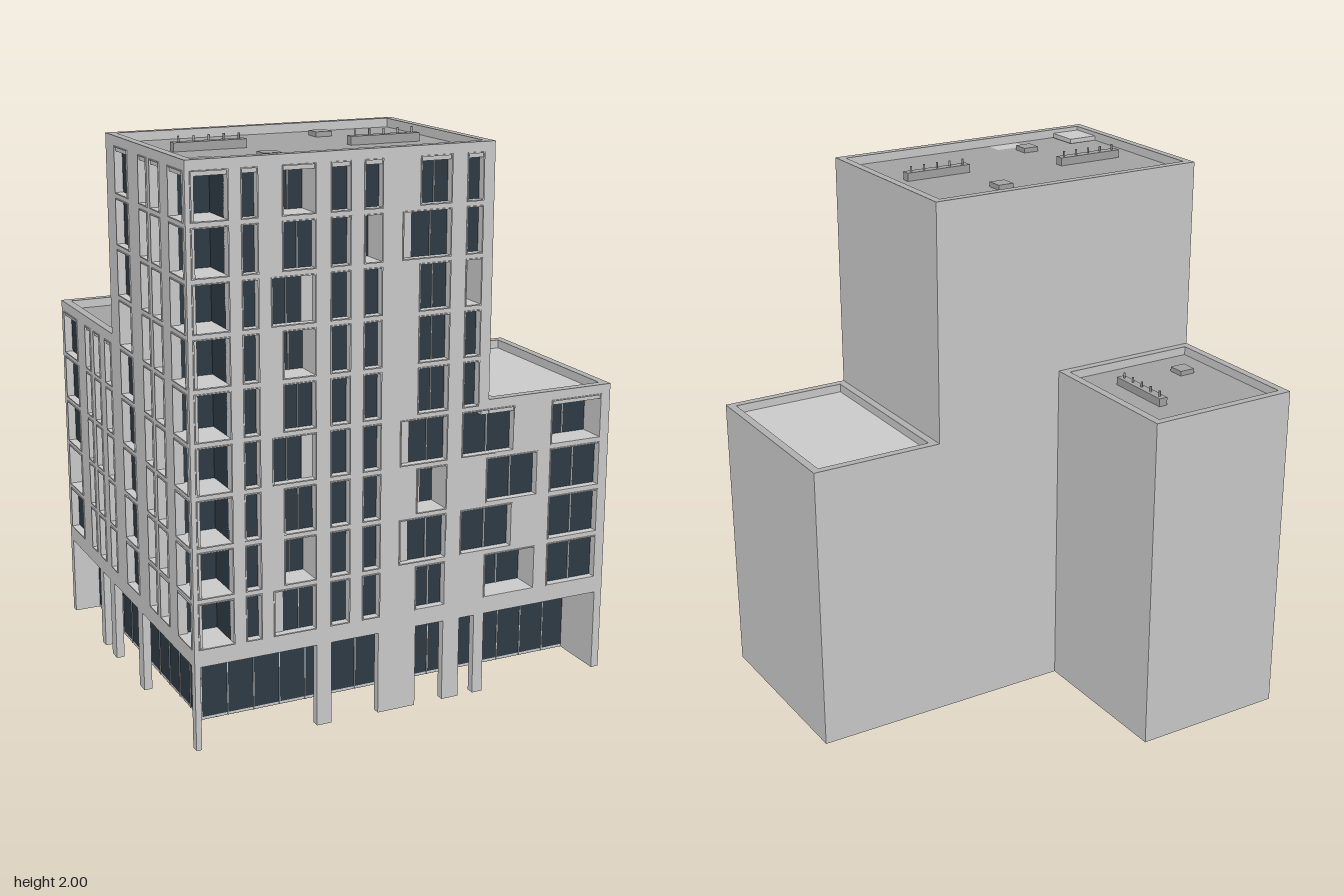
import * as THREE from 'three';

const mat = (color) => new THREE.MeshStandardMaterial({ color });
const WALL = mat(0xcccccc), GLASS = mat(0x2e3a44), ROOF = mat(0xa3a3a3), CAP = mat(0xb0b0b0);
const T = 0.03;                                   // wall thickness
const rowY = (i) => 0.365 + 0.178 * i, ROW_H = 0.155;

// Box from its minimum and maximum corners
function box(parent, name, material, x0, x1, y0, y1, z0, z1) {
  const m = new THREE.Mesh(new THREE.BoxGeometry(x1 - x0, y1 - y0, z1 - z0), material);
  m.position.set((x0 + x1) / 2, (y0 + y1) / 2, (z0 + z1) / 2);
  m.name = name;
  parent.add(m);
  return m;
}

function rectPath(x0, x1, y0, y1, P = THREE.Path) {
  const p = new P();
  p.moveTo(x0, y0); p.lineTo(x1, y0); p.lineTo(x1, y1); p.lineTo(x0, y1); p.closePath();
  return p;
}

// Rectangular ring of border t, grown outward from the opening, from z0 to z1
function ring(parent, name, material, x0, x1, y0, y1, t, z0, z1) {
  const s = rectPath(x0 - t, x1 + t, y0 - t, y1 + t, THREE.Shape);
  s.holes.push(rectPath(x0, x1, y0, y1));
  const m = new THREE.Mesh(new THREE.ExtrudeGeometry(s, { depth: z1 - z0, bevelEnabled: false }), material);
  m.position.z = z0;
  m.name = name;
  parent.add(m);
  return m;
}

// Street wall in its own plane: outer face at z = 0, inside is -z
function facade(name, outline, windows, piers) {
  const g = new THREE.Group();
  g.name = name;
  const shape = new THREE.Shape(outline.map(([x, y]) => new THREE.Vector2(x, y)));
  for (const { u0, u1, row, glass, deep, open } of windows) {
    const y0 = rowY(row), y1 = y0 + ROW_H;
    shape.holes.push(rectPath(u0, u1, y0, y1));
    ring(g, 'windowTrim', WALL, u0, u1, y0, y1, 0.004, -0.01, 0.004);
    if (open) continue;
    const d = deep ? -0.1 : -0.025, [g0, g1] = glass || [u0, u1];
    if (deep) ring(g, 'balconyRecess', WALL, u0, u1, y0, y1, 0.006, d, -T);
    box(g, 'windowPane', GLASS, g0 - 0.003, g1 + 0.003, y0 - 0.003, y1 + 0.003, d - 0.008, d);
    if (g0 > u0) box(g, 'sidePanel', WALL, u0, g0, y0, y1, d - 0.008, d + 0.004);
    if (g1 < u1) box(g, 'sidePanel', WALL, g1, u1, y0, y1, d - 0.008, d + 0.004);
    if (g1 - g0 > 0.1) {
      const c = g0 + (g1 - g0) * 0.52;
      box(g, 'windowMullion', WALL, c - 0.002, c + 0.002, y0, y1, d, d + 0.004);
    }
  }
  const wall = new THREE.Mesh(new THREE.ExtrudeGeometry(shape, { depth: T, bevelEnabled: false }), WALL);
  wall.position.z = -T;
  wall.name = 'perforatedWall';
  g.add(wall);
  for (const [a, b] of piers) box(g, 'pier', WALL, a, b, 0, 0.3, -T, 0);
  return g;
}

// Column of windows over a range of rows, with per-row overrides
function column(u0, u1, from, to, special = {}) {
  const list = [];
  for (let row = from; row <= to; row++) list.push({ u0, u1, row, ...special[row] });
  return list;
}

// Recessed shopfront along local x with a grid of bars
function shopfront(name, u0, u1) {
  const g = new THREE.Group();
  g.name = name;
  box(g, 'shopGlass', GLASS, u0, u1, 0, 0.31, -0.01, 0);
  box(g, 'shopRail', WALL, u0, u1, 0.217, 0.22, 0, 0.003);
  const n = Math.round((u1 - u0) / 0.1);
  for (let i = 0; i <= n; i++) {
    const u = u0 + ((u1 - u0) * i) / n;
    box(g, 'shopBar', WALL, u - 0.0015, u + 0.0015, 0, 0.3, 0, 0.003);
  }
  return g;
}

// Flat roof with a raised edge and capping
function roof(parent, name, material, x0, x1, z0, z1, top) {
  const g = new THREE.Group();
  g.name = name;
  box(g, 'roofDeck', material, x0 + 0.01, x1 - 0.01, top - 0.05, top - 0.03, z0 + 0.01, z1 - 0.01);
  const edge = (label, m, y0, y1, inset) => {
    const r = ring(g, label, m, x0 + T, x1 - T, -z1 + T, -z0 - T, T - inset, 0, y1 - y0);
    r.rotation.x = -Math.PI / 2;
    r.position.set(0, y0, 0);
  };
  edge('parapet', WALL, top - 0.05, top - 0.001, 0.002);
  edge('parapetCap', CAP, top - 0.001, top + 0.002, 0);
  parent.add(g);
}

// Low duct with five rods on top, and a square hatch
function roofDuct(parent, cx, cz, top, alongZ) {
  const g = new THREE.Group();
  g.name = 'roofDuct';
  box(g, 'ductBody', ROOF, -0.131, 0.131, -0.03, 0, -0.017, 0.017);
  for (let i = -2; i <= 2; i++) {
    const rod = new THREE.Mesh(new THREE.CylinderGeometry(0.004, 0.004, 0.02, 8), ROOF);
    rod.position.set(i * 0.054, 0.01, 0);
    rod.name = 'ductRod';
    g.add(rod);
  }
  g.position.set(cx, top, cz);
  if (alongZ) g.rotation.y = Math.PI / 2;
  parent.add(g);
}
const hatch = (parent, x, z, top) =>
  box(parent, 'roofHatch', ROOF, x - 0.031, x + 0.031, top - 0.03, top - 0.012, z - 0.031, z + 0.031);

export function createModel() {
  const model = new THREE.Group();
  model.name = 'apartmentBuilding';
  const deep = { deep: true };

  // Front street wall
  const wideC = { u0: -0.51, glass: [-0.51, -0.4] }, wideF = { u0: -0.04, glass: [0, 0.135] };
  const low = { u0: 0.2, u1: 0.4 };
  const front = facade('frontFacade',
    [[-0.8, 0.3], [0.8, 0.3], [0.8, 1.09], [0.3, 1.09], [0.3, 1.98], [-0.8, 1.98]],
    [
      ...column(-0.78, -0.66, 0, 8).map((w) => ({ ...w, open: true })),
      ...column(-0.61, -0.56, 0, 8),
      ...column(-0.47, -0.36, 0, 8, { 0: { u0: -0.51, glass: [-0.47, -0.36] }, 1: deep, 3: wideC, 5: deep, 6: wideC, 8: deep }),
      ...column(-0.3, -0.235, 0, 8),
      ...column(-0.18, -0.12, 0, 8, { 7: deep }),
      ...column(0.025, 0.135, 0, 8, { 1: wideF, 2: deep, 3: wideF, 7: wideF }),
      ...column(0.2, 0.255, 4, 8, { 6: deep }),
      ...column(0.3, 0.5, 0, 3, { 0: deep, 1: low, 3: low }),
      ...column(0.56, 0.76, 0, 3, { 3: deep }),
    ],
    [[-0.8, -0.78], [-0.355, -0.3], [-0.12, 0.025], [0.135, 0.2], [0.26, 0.3]]);
  front.position.z = 0.68;
  model.add(front);

  // Right-hand street wall (local x runs along world z)
  const side = facade('sideFacade',
    [[-0.69, 0.3], [0.679, 0.3], [0.679, 1.979], [-0.08, 1.979], [-0.08, 1.27], [-0.69, 1.27]],
    [
      ...column(-0.65, -0.5, 0, 4, { 1: deep }),
      ...column(-0.39, -0.34, 0, 4, { 4: deep }),
      ...column(-0.29, -0.23, 0, 4, { 2: deep }),
      ...column(-0.16, -0.1, 0, 4),
      ...column(0.02, 0.14, 0, 8, { 5: deep }),
      ...column(0.26, 0.33, 0, 8, { 4: deep }),
      ...column(0.37, 0.45, 0, 8, { 6: deep }),
      ...column(0.54, 0.66, 0, 8).map((w) => ({ ...w, open: true })),
    ],
    [[-0.32, -0.28], [-0.2, -0.15], [0.11, 0.16]]);
  side.position.x = -0.8;
  side.rotation.y = -Math.PI / 2;
  model.add(side);

  // Blank walls
  box(model, 'lowWingEndWall', WALL, 0.8 - T, 0.8, 0, 1.09, -0.08, 0.679);
  box(model, 'towerEndWall', WALL, 0.3 - T, 0.3, 1.04, 1.98, -0.08, 0.679);
  box(model, 'mainBackWall', WALL, -0.24, 0.8, 0, 1.09, -0.08, -0.08 + T);
  box(model, 'towerBackWall', WALL, -0.799, 0.3, 1.09, 1.98, -0.08, -0.08 + T);
  box(model, 'rearWingInnerWall', WALL, -0.21 - T, -0.21, 0, 1.27, -0.69, -0.06);
  box(model, 'rearWingEndWall', WALL, -0.8, -0.21, 0, 1.27, -0.69, -0.69 + T);

  // Ground floor: floor plates, overhang soffits and recessed glazing
  box(model, 'groundFloorMain', WALL, -0.7, 0.79, 0.001, 0.01, -0.07, 0.47);
  box(model, 'groundFloorRear', WALL, -0.7, -0.22, 0.001, 0.01, -0.68, -0.07);
  box(model, 'soffitMain', WALL, -0.79, 0.79, 0.301, 0.34, -0.07, 0.67);
  box(model, 'soffitRear', WALL, -0.79, -0.22, 0.301, 0.34, -0.68, -0.07);
  const shopA = shopfront('frontShopfront', -0.7, 0.78);
  shopA.position.z = 0.47;
  const shopB = shopfront('sideShopfront', -0.67, 0.47);
  shopB.position.x = -0.7;
  shopB.rotation.y = -Math.PI / 2;
  model.add(shopA, shopB);

  // Open corner balconies
  for (let i = 0; i <= 9; i++)
    box(model, 'balconySlab', WALL, -0.79, -0.655, rowY(i) - 0.023, rowY(i), 0.525, 0.67);
  box(model, 'balconyGlassBack', GLASS, -0.775, -0.655, 0.33, 1.95, 0.52, 0.53);
  box(model, 'balconyGlassSide', GLASS, -0.66, -0.65, 0.33, 1.95, 0.52, 0.655);

  // Roofs and rooftop equipment
  roof(model, 'towerRoof', ROOF, -0.8, 0.3, -0.08, 0.68, 1.98);
  roof(model, 'lowWingRoof', WALL, 0.3, 0.8, -0.08, 0.68, 1.09);
  roof(model, 'rearWingRoof', ROOF, -0.8, -0.21, -0.69, -0.08, 1.27);
  roofDuct(model, -0.55, 0.252, 1.98);
  roofDuct(model, 0.053, 0.347, 1.98);
  roofDuct(model, -0.377, -0.37, 1.27, true);
  hatch(model, -0.06, 0.08, 1.98);
  hatch(model, -0.445, 0.515, 1.98);
  hatch(model, -0.645, -0.26, 1.27);
  return model;
}
